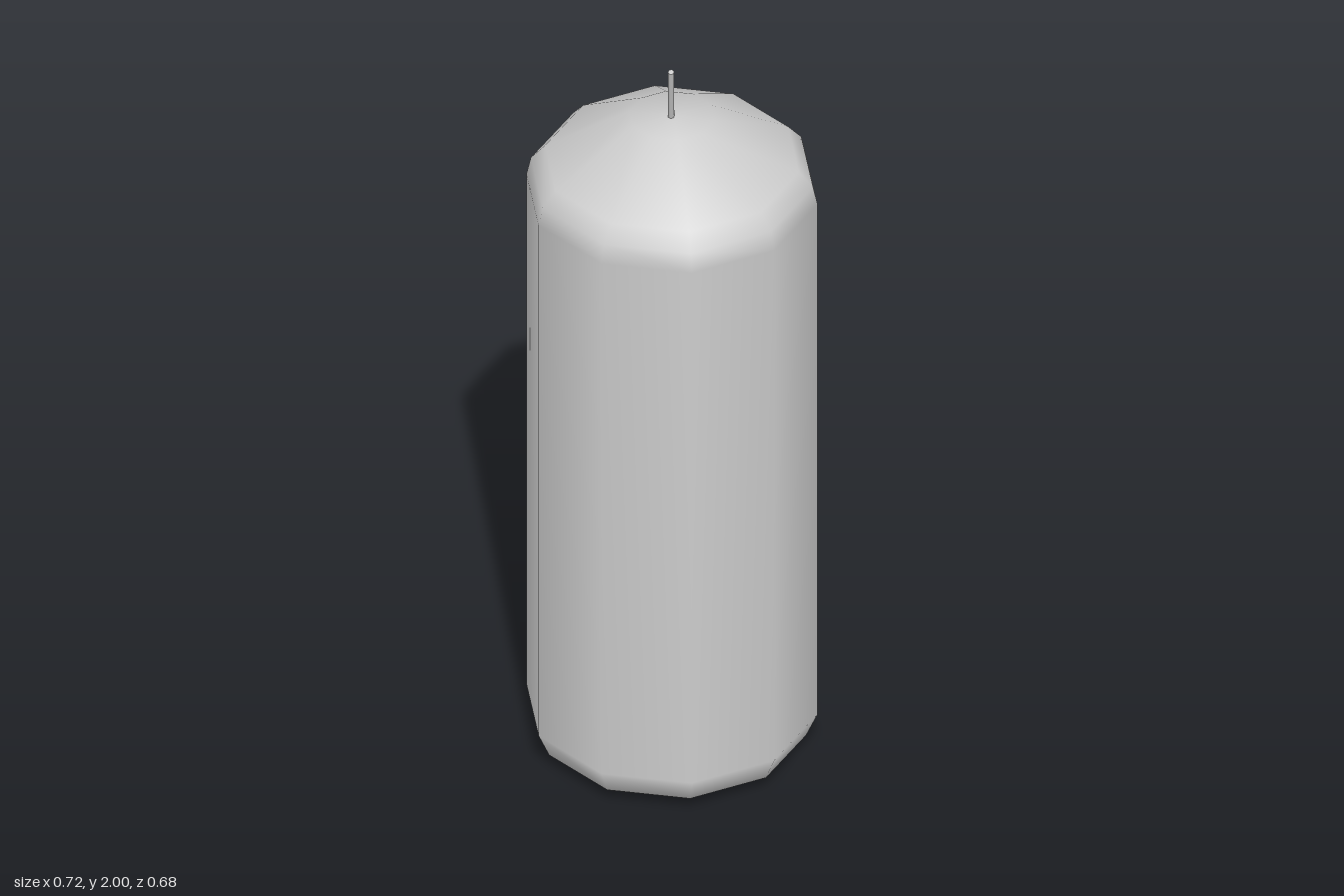
import * as THREE from 'three';

export function createModel() {
  const group = new THREE.Group();
  group.name = 'candle';
  const material = new THREE.MeshStandardMaterial({ color: 0xcccccc });

  // Ten-sided wax body with rounded foot, shoulder and sloping top
  const profile = [
    [0, 0], [0.26, 0.005], [0.33, 0.035], [0.358, 0.1],
    [0.358, 1.605], [0.347, 1.655], [0.312, 1.695], [0.105, 1.822], [0, 1.828],
  ].map(([r, y]) => new THREE.Vector2(r, y));
  const body = new THREE.Mesh(new THREE.LatheGeometry(profile, 10, Math.PI / 2), material);
  body.name = 'waxBody';
  group.add(body);

  // Thin wick leaning forward, its foot sunk into the wax
  const foot = new THREE.Vector3(-0.001, 1.81, 0.006);
  const tip = new THREE.Vector3(0.01, 1.998, 0.067);
  const direction = tip.clone().sub(foot);
  const wick = new THREE.Mesh(new THREE.CylinderGeometry(0.008, 0.008, direction.length(), 6), material);
  wick.name = 'wick';
  wick.position.copy(foot).add(tip).multiplyScalar(0.5);
  wick.quaternion.setFromUnitVectors(new THREE.Vector3(0, 1, 0), direction.normalize());
  group.add(wick);

  return group;
}
